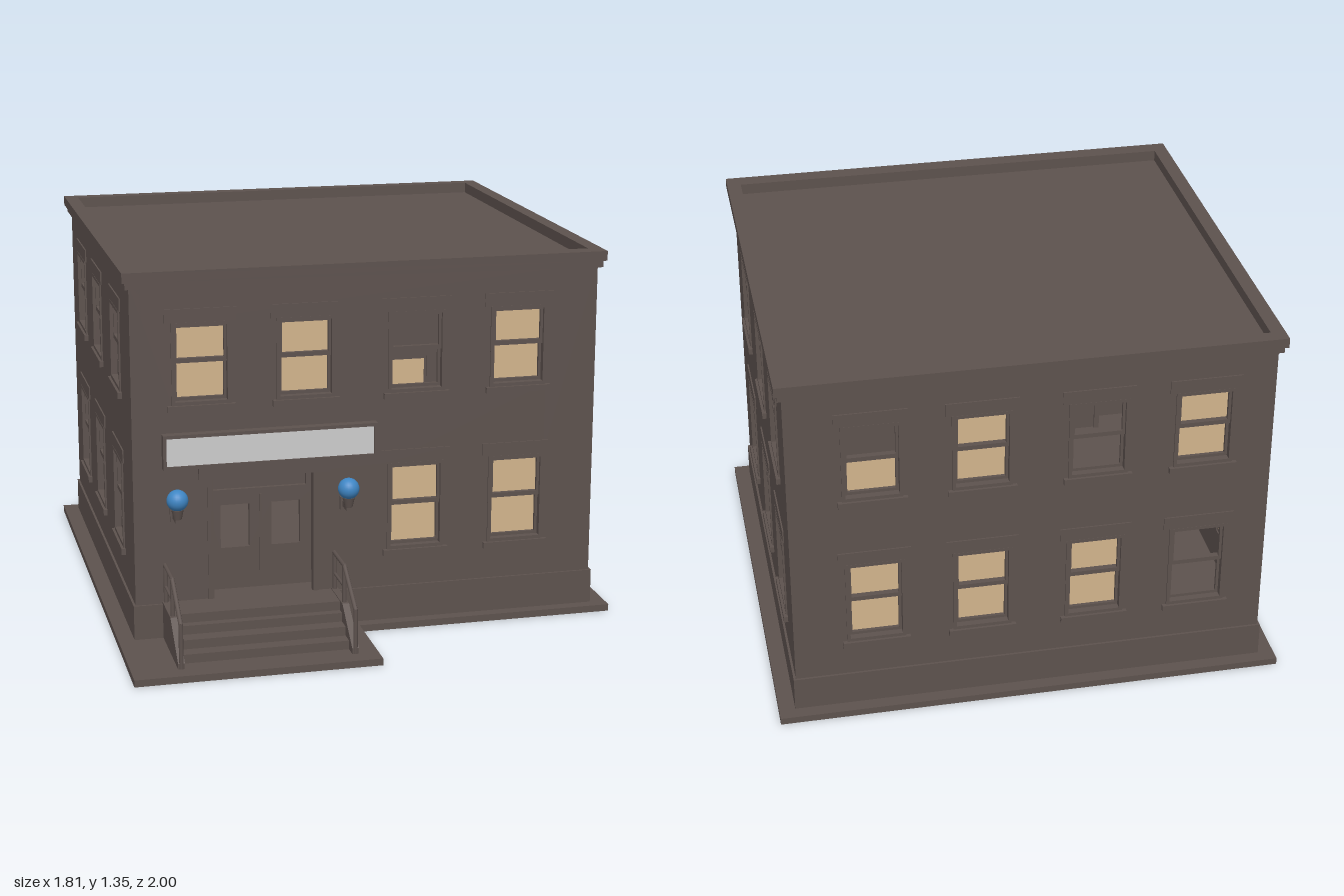
import * as THREE from 'three';

const brick = new THREE.MeshStandardMaterial({ color: 0x5d524e });
brick.name = 'brown masonry';
const glow = new THREE.MeshStandardMaterial({ color: 0xd2b48c, side: THREE.DoubleSide });
glow.name = 'warm window';
const signFace = new THREE.MeshStandardMaterial({ color: 0xcccccc });
signFace.name = 'pale sign';
const blue = new THREE.MeshStandardMaterial({ color: 0x3f86c4 });
blue.name = 'blue globe';

function add(parent, name, geometry, material = brick) {
  const mesh = new THREE.Mesh(geometry, material);
  mesh.name = name;
  parent.add(mesh);
  return mesh;
}

// Box given by its minimum and maximum on each axis
function box(parent, name, x0, x1, y0, y1, z0, z1, material = brick) {
  const mesh = add(parent, name, new THREE.BoxGeometry(x1 - x0, y1 - y0, z1 - z0), material);
  mesh.position.set((x0 + x1) / 2, (y0 + y1) / 2, (z0 + z1) / 2);
  return mesh;
}

function rect(x0, x1, y0, y1, Type = THREE.Shape) {
  const s = new Type();
  s.moveTo(x0, y0);
  s.lineTo(x1, y0);
  s.lineTo(x1, y1);
  s.lineTo(x0, y1);
  s.closePath();
  return s;
}

// Plate with rectangular holes, from z0 to z1
function plate(parent, name, outer, holes, z0, z1) {
  const shape = rect(...outer);
  for (const h of holes) shape.holes.push(rect(...h, THREE.Path));
  const mesh = add(parent, name, new THREE.ExtrudeGeometry(shape, { depth: z1 - z0, bevelEnabled: false }));
  mesh.position.z = z0;
  return mesh;
}

// Horizontal ring, outer and inner given as [x0, x1, z0, z1]
function ring(parent, name, outer, inner, y0, y1) {
  const flip = ([x0, x1, z0, z1]) => [x0, x1, -z1, -z0];
  const mesh = plate(parent, name, flip(outer), [flip(inner)], 0, y1 - y0);
  mesh.rotation.x = -Math.PI / 2;
  mesh.position.y = y0;
}

// Sash window whose wall face is at local z = 0; pane is 'full', 'half' or 'open'
function sashWindow(parent, { x, y0, y1, w, pane }) {
  const g = new THREE.Group();
  g.name = 'window';
  g.position.x = x;
  parent.add(g);
  const h = w / 2, mid = (y0 + y1) / 2 + 0.01, f = 0.012;
  plate(g, 'windowFrame', [-h, h, y0, y1], [[-h + f, h - f, y0 + f, y1 - f]], -0.035, 0.006);
  plate(g, 'upperSash', [-h + f, h - f, mid - 0.008, y1 - f],
    [[-h + f * 1.8, h - f * 1.8, mid + 0.008, y1 - f * 1.6]], -0.018, -0.006);
  plate(g, 'lowerSash', [-h + f, h - f, y0 + f, mid + 0.006],
    [[-h + f * 1.8, h - f * 1.8, y0 + f * 1.9, mid - 0.009]], -0.03, -0.018);
  box(g, 'lintel', -h - 0.022, h + 0.022, y1, y1 + 0.048, -0.01, 0.005);
  box(g, 'sill', -h - 0.015, h + 0.015, y0 - 0.022, y0, -0.02, 0.015);
  if (pane !== 'open') {
    const top = pane === 'half' ? mid : y1 - 0.005;
    box(g, 'litPane', -h + 0.005, h - 0.005, y0 + 0.005, top, -0.034, -0.03, glow);
    if (pane === 'half') box(g, 'drawnShade', -h + 0.005, h - 0.005, mid, y1 - 0.005, -0.034, -0.03);
  }
}

const ROWS = { upper: [0.868, 1.16], lower: [0.288, 0.61] };
const X0 = -0.84, X1 = 0.84, Z0 = -0.945, Z1 = 0.62, ZC = (Z0 + Z1) / 2;

// Wall with its windows, built facing +z and then turned into place
function wall(parent, name, width, windows, extraHoles, position, turn) {
  const g = new THREE.Group();
  g.name = name;
  g.position.set(...position);
  g.rotation.y = turn;
  parent.add(g);
  const holes = windows.map(({ x, y0, y1, w }) => [x - w / 2, x + w / 2, y0, y1]);
  plate(g, name + 'Panel', [-width / 2, width / 2, 0.1, 1.3], [...holes, ...extraHoles], -0.04, 0);
  windows.forEach((win) => sashWindow(g, win));
}

function windowRow(row, xs, w, panes = {}) {
  const [y0, y1] = ROWS[row];
  return xs.map((x, i) => ({ x, y0, y1, w, pane: panes[i] || 'full' }));
}

function bar(parent, name, a, b, r = 0.008) {
  const from = new THREE.Vector3(...a), to = new THREE.Vector3(...b);
  const dir = to.clone().sub(from);
  const mesh = add(parent, name, new THREE.CylinderGeometry(r, r, dir.length() + r, 8));
  mesh.position.copy(from).add(to).multiplyScalar(0.5);
  mesh.quaternion.setFromUnitVectors(new THREE.Vector3(0, 1, 0), dir.normalize());
}

export function createModel() {
  const model = new THREE.Group();
  model.name = 'building';

  // Pavement, with the wider part under the entrance, and the plinth
  box(model, 'pavement', -0.905, 0.905, 0, 0.025, -1, 0.67);
  box(model, 'entrancePavement', -0.905, -0.04, 0, 0.025, 0.67, 1);
  box(model, 'plinth', X0 - 0.008, X1 + 0.008, 0.025, 0.15, Z0 - 0.008, Z1 + 0.008);

  // Four hollow walls; a few windows stand open to the interior
  const xs = [-0.595, -0.225, 0.175, 0.55];
  const backXs = xs.map((x) => -x);
  const zs = [0.275, -0.2, -0.64];
  const door = [-0.58, -0.18, 0.152, 0.6];
  wall(model, 'frontWall', X1 - X0, [...windowRow('upper', xs, 0.208, { 2: 'open' }),
    ...windowRow('lower', xs.slice(2), 0.208)], [door], [0, 0, Z1], 0);
  wall(model, 'backWall', X1 - X0, [...windowRow('upper', backXs, 0.208, { 1: 'open', 3: 'half' }),
    ...windowRow('lower', backXs, 0.208, { 0: 'open' })], [], [0, 0, Z0], Math.PI);
  const rightXs = zs.map((z) => ZC - z), leftXs = zs.map((z) => z - ZC);
  wall(model, 'rightSideWall', Z1 - Z0, [...windowRow('upper', rightXs, 0.222),
    ...windowRow('lower', rightXs, 0.222, { 0: 'open', 2: 'open' })], [], [X1, 0, ZC], Math.PI / 2);
  wall(model, 'leftSideWall', Z1 - Z0, [...windowRow('upper', leftXs, 0.222),
    ...windowRow('lower', leftXs, 0.222)], [], [X0, 0, ZC], -Math.PI / 2);

  // Roof deck and stepped cornice
  box(model, 'roof', -0.83, 0.83, 1.27, 1.305, -0.935, 0.61);
  const inner = [-0.815, 0.815, -0.92, 0.582];
  ring(model, 'lowerCornice', [-0.855, 0.855, -0.96, 0.635], inner, 1.285, 1.31);
  ring(model, 'upperCornice', [-0.866, 0.866, -0.972, 0.646], inner, 1.31, 1.345);

  // Recessed entrance with glazed double doors and a transom
  const entrance = new THREE.Group();
  entrance.name = 'entrance';
  model.add(entrance);
  box(entrance, 'doorReveal', -0.6, -0.58, 0.15, 0.62, 0.49, 0.6);
  box(entrance, 'doorReveal', -0.18, -0.16, 0.15, 0.62, 0.49, 0.6);
  box(entrance, 'doorSoffit', -0.6, -0.16, 0.6, 0.62, 0.49, 0.6);
  plate(entrance, 'doubleDoors', [-0.58, -0.18, 0.15, 0.505],
    [[-0.515, -0.41, 0.305, 0.465], [-0.33, -0.225, 0.305, 0.465]], 0.5, 0.52);
  box(entrance, 'doorMeetingStrip', -0.374, -0.366, 0.155, 0.5, 0.52, 0.525);
  box(entrance, 'transomPanel', -0.58, -0.18, 0.505, 0.6, 0.5, 0.518);
  plate(entrance, 'transomFrame', [-0.575, -0.185, 0.505, 0.598], [[-0.555, -0.205, 0.525, 0.58]], 0.515, 0.532);
  for (const x of [-0.58, -0.2]) box(entrance, 'doorJamb', x, x + 0.02, 0.15, 0.6, 0.59, 0.626);
  box(entrance, 'doorLintel', -0.61, -0.14, 0.598, 0.648, 0.6, 0.632);

  // Blank sign board in a frame
  box(model, 'signBoard', -0.73, 0.02, 0.65, 0.765, 0.62, 0.645);
  plate(model, 'signFrame', [-0.737, 0.027, 0.645, 0.77], [[-0.725, 0.015, 0.658, 0.758]], 0.62, 0.652);
  box(model, 'signFace', -0.725, 0.015, 0.658, 0.758, 0.644, 0.648, signFace);

  // Globe lamps on wall brackets
  for (const x of [-0.695, -0.085]) {
    const lamp = new THREE.Group();
    lamp.name = 'lamp';
    lamp.position.x = x;
    model.add(lamp);
    box(lamp, 'lampWallPlate', -0.018, 0.018, 0.452, 0.5, 0.615, 0.63);
    box(lamp, 'lampArm', -0.01, 0.01, 0.465, 0.485, 0.625, 0.69);
    add(lamp, 'lampCup', new THREE.CylinderGeometry(0.022, 0.014, 0.035, 16)).position.set(0, 0.495, 0.68);
    add(lamp, 'lampGlobe', new THREE.SphereGeometry(0.038, 24, 16), blue).position.set(0, 0.545, 0.68);
  }

  // Steps up to the landing
  [[0.155, 0.755], [0.122, 0.785], [0.09, 0.838], [0.057, 0.888]].forEach(([y, z]) =>
    box(model, 'step', -0.73, -0.12, 0.02, y, 0.62, z));

  // Sloped side walls and railings of the steps
  const side = new THREE.Shape([[-0.62, 0.02], [-0.62, 0.158], [-0.79, 0.158], [-0.935, 0.045], [-0.935, 0.02]]
    .map(([a, b]) => new THREE.Vector2(a, b)));
  for (const x of [-0.733, -0.122]) {
    const cheek = add(model, 'stepSideWall', new THREE.ExtrudeGeometry(side, { depth: 0.024, bevelEnabled: false }));
    cheek.rotation.y = Math.PI / 2;
    cheek.position.x = x - 0.012;
    bar(model, 'handrail', [x, 0.292, 0.62], [x, 0.292, 0.77]);
    bar(model, 'slopedHandrail', [x, 0.292, 0.77], [x, 0.185, 0.932]);
    bar(model, 'middleRail', [x, 0.215, 0.62], [x, 0.215, 0.77], 0.006);
    bar(model, 'upperPost', [x, 0.15, 0.77], [x, 0.292, 0.77]);
    bar(model, 'lowerPost', [x, 0.025, 0.932], [x, 0.185, 0.932]);
    bar(model, 'wallPost', [x, 0.15, 0.628], [x, 0.292, 0.628]);
  }

  return model;
}
